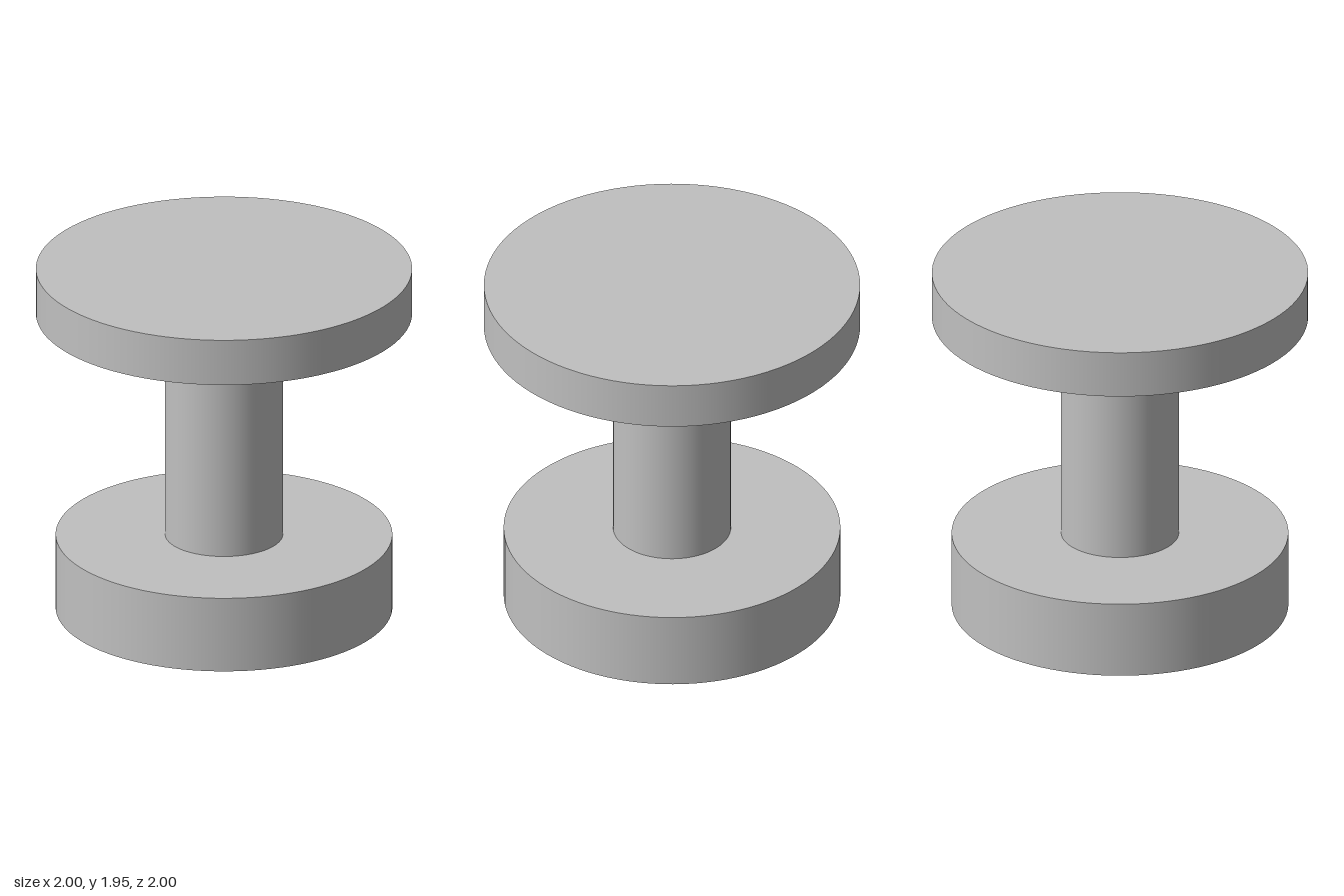
import * as THREE from 'three';

const grey = new THREE.MeshStandardMaterial({ color: 0xc0c0c0 });
grey.name = 'plain grey';

// Upright round part between two heights
function disc(name, radius, bottom, top) {
  const mesh = new THREE.Mesh(new THREE.CylinderGeometry(radius, radius, top - bottom, 96), grey);
  mesh.name = name;
  mesh.position.y = (bottom + top) / 2;
  return mesh;
}

export function createModel() {
  const model = new THREE.Group();
  model.name = 'pedestal';
  model.add(
    disc('base', 0.895, 0, 0.42),
    disc('column', 0.313, 0.42, 1.69),
    disc('topPlate', 1, 1.69, 1.947),
  );
  return model;
}
